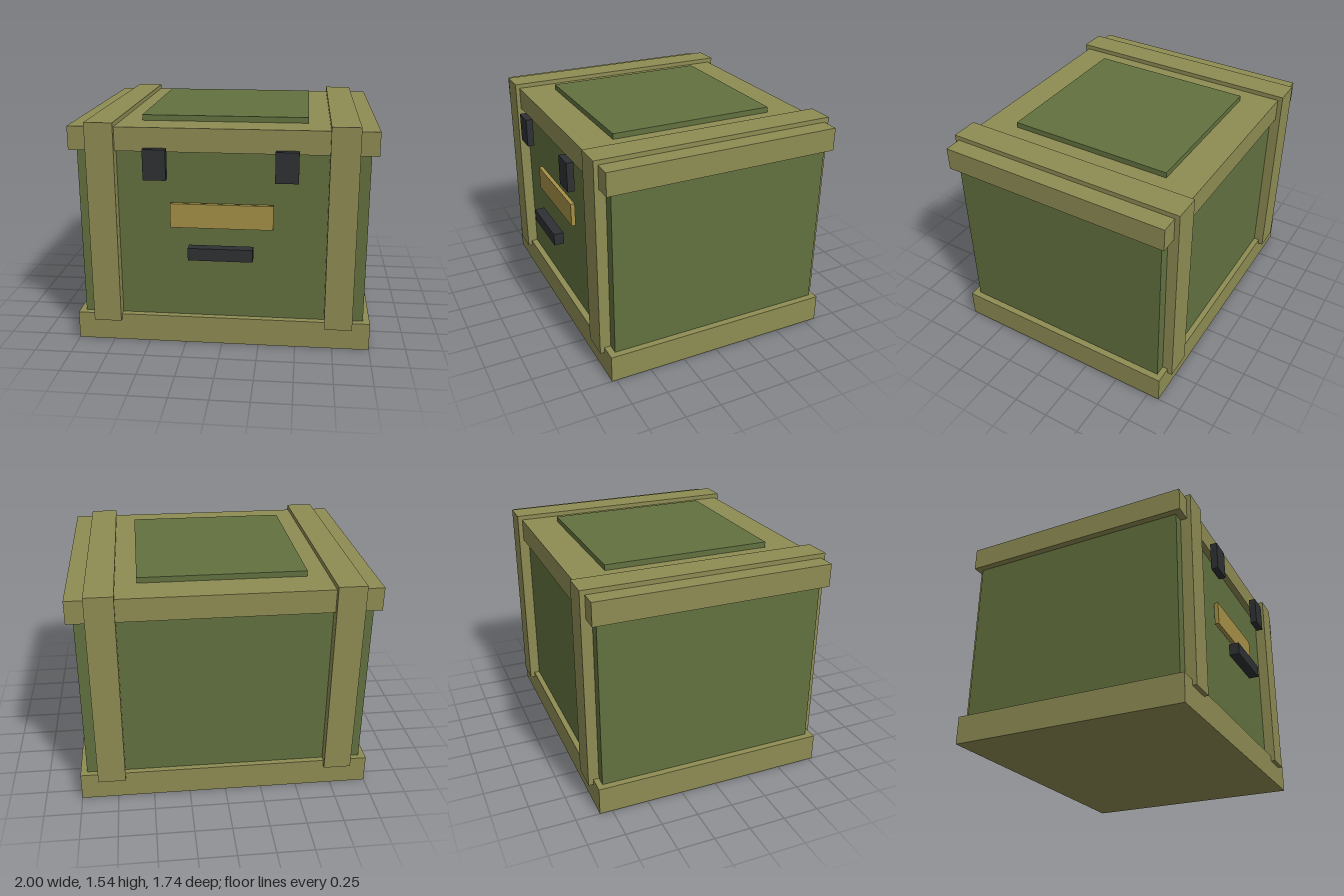
import * as THREE from 'three';

const paint = (color) => new THREE.MeshStandardMaterial({ color });

export function createModel() {
  const group = new THREE.Group();
  const wood = paint(0x8e8c53);
  const green = paint(0x62713f);
  const iron = paint(0x2e3033);
  const brass = paint(0xa59046);

  // Adds a box given its [min, max] range along each axis
  const addBox = (name, material, x, y, z) => {
    const size = [x, y, z].map(([a, b]) => b - a);
    const mesh = new THREE.Mesh(new THREE.BoxGeometry(...size), material);
    mesh.position.set(...[x, y, z].map(([a, b]) => (a + b) / 2));
    mesh.name = name;
    group.add(mesh);
  };

  // Crate body between its base and lid
  const rimZ = [-0.836, 0.782];
  addBox('base', wood, [-1, 1], [0, 0.191], rimZ);
  addBox('body', green, [-0.955, 0.955], [0.15, 1.4], [-0.797, 0.737]);
  addBox('lid', wood, [-1, 1], [1.346, 1.503], rimZ);
  addBox('lidPanel', green, [-0.553, 0.553], [1.48, 1.541], [-0.602, 0.548]);

  // Straps and latches, one on each side
  for (const [side, s] of [['left', 1], ['right', -1]]) {
    const span = (a, b) => (s > 0 ? [a, b] : [-b, -a]);
    addBox(`${side}Strap`, wood, span(0.693, 0.88), [0.152, 1.534], [-0.869, 0.811]);
    addBox(`${side}Latch`, iron, span(0.35, 0.5), [1.172, 1.374], [0.799, 0.847]);
  }

  // Front name plate and handle
  addBox('plate', brass, [-0.34, 0.34], [0.834, 0.998], [0.75, 0.779]);
  addBox('handle', iron, [-0.213, 0.213], [0.64, 0.724], [0.799, 0.869]);

  return group;
}
